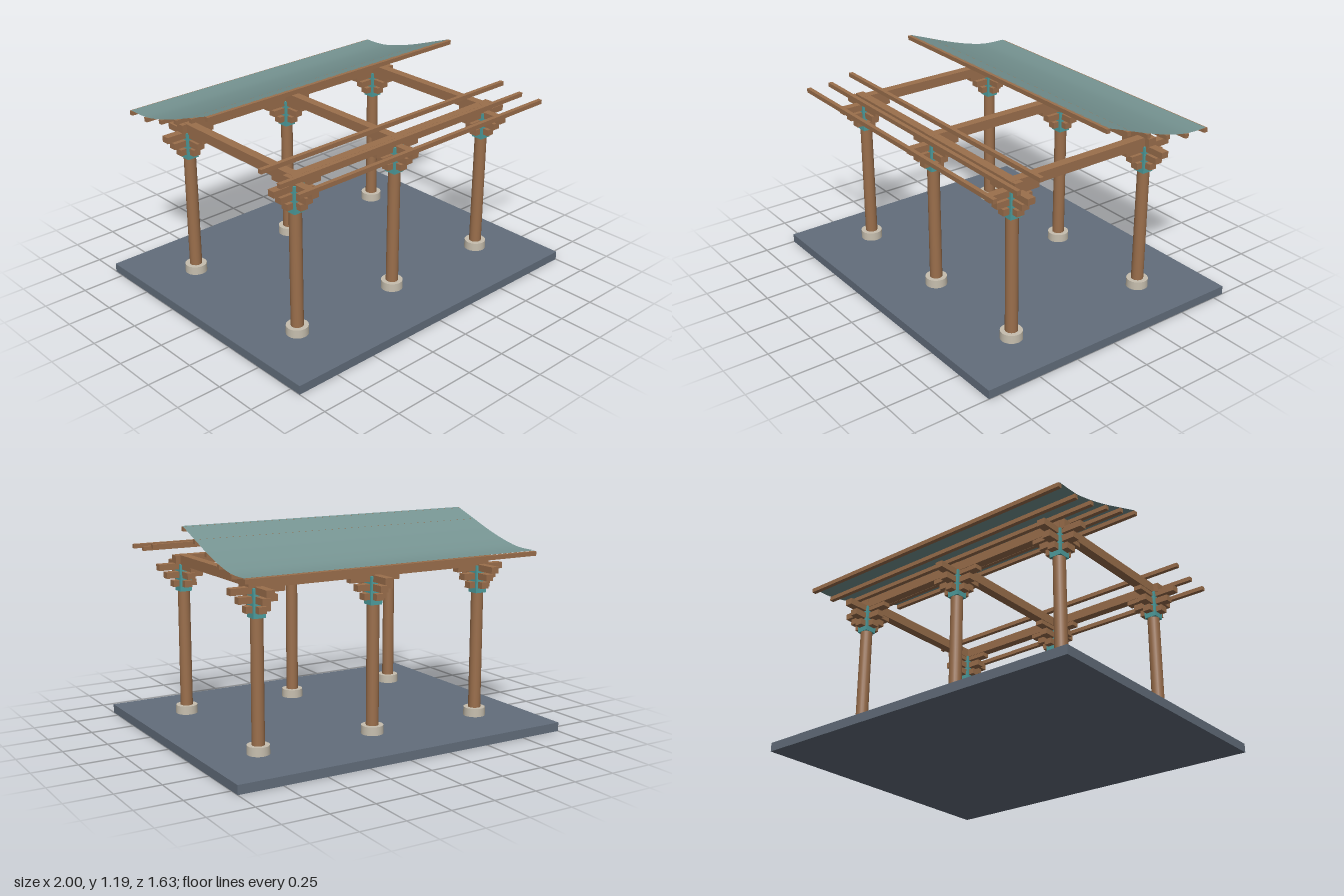
import * as THREE from 'three';

const mat = (name, color, side = THREE.FrontSide) => {
  const m = new THREE.MeshStandardMaterial({ color, side });
  m.name = name;
  return m;
};

export function createModel() {
  const wood = mat('wood', 0x9b6f4c);
  const stone = mat('pale stone', 0xc6beae);
  const slate = mat('slate', 0x626d7b);
  const teal = mat('teal paint', 0x4fa0a0);
  const tile = mat('roof tile', 0x769492, THREE.DoubleSide);
  const model = new THREE.Group();
  model.name = 'pavilion';

  const add = (parent, name, geometry, material, x, y, z) => {
    const mesh = new THREE.Mesh(geometry, material);
    mesh.name = name;
    mesh.position.set(x, y, z);
    parent.add(mesh);
    return mesh;
  };
  const box = (parent, name, w, h, d, material, x, y, z) =>
    add(parent, name, new THREE.BoxGeometry(w, h, d), material, x, y, z);

  box(model, 'platform', 2, 0.05, 1.634, slate, 0, 0.025, 0);

  // Column with stone foot and three widening tiers of crossed bracket arms
  const columnXs = [-0.695, 0, 0.695];
  const columnZ = 0.445;
  const tiers = [[0.07, 0.809], [0.11, 0.858], [0.153, 0.906]];
  for (const x of columnXs) {
    for (const z of [-columnZ, columnZ]) {
      const post = new THREE.Group();
      post.name = 'columnAssembly';
      post.position.set(x, 0, z);
      model.add(post);
      add(post, 'columnFoot', new THREE.CylinderGeometry(0.061, 0.062, 0.048, 20), stone, 0, 0.074, 0);
      add(post, 'column', new THREE.CylinderGeometry(0.034, 0.035, 0.68, 20), wood, 0, 0.43, 0);
      box(post, 'bracketBlock', 0.07, 0.155, 0.07, teal, 0, 0.8405, 0);
      for (const [reach, y] of tiers) {
        box(post, 'bracketArmAcross', reach * 2, 0.035, 0.046, wood, 0, y, 0);
        box(post, 'bracketArmDeep', 0.046, 0.036, reach * 2, wood, 0, y, 0);
      }
    }
    // Cross beam joining the front and back columns
    box(model, 'crossBeam', 0.052, 0.055, 0.944, wood, x, 0.941, 0);
  }

  // Long beams over each row of columns
  for (const z of [-columnZ, columnZ]) {
    box(model, 'longBeam', 1.5, 0.054, 0.05, wood, 0, 0.941, z);
  }

  // Purlins: the back slope is complete, the front slope is unfinished
  const slope = [[0, 1.172], [0.139, 1.122], [0.278, 1.072], [0.417, 1.03], [0.556, 1.001], [0.695, 0.998]];
  slope.forEach(([z, y], i) => {
    box(model, 'purlin', 1.78, 0.024, 0.024, wood, 0, y, -z);
    if (i > 2) box(model, 'purlin', 1.78, 0.024, 0.024, wood, 0, y, z);
  });

  // Thin curved roof sheet swept over the back purlins
  const curve = new THREE.SplineCurve(slope.map(([z, y]) => new THREE.Vector2(-z, y + 0.016)));
  const steps = 15;
  const sheet = new THREE.PlaneGeometry(1.78, 1, 1, steps);
  const pos = sheet.attributes.position;
  for (let i = 0; i < pos.count; i++) {
    // The first row of the plane becomes the eave, the last the ridge
    const p = curve.getPoint(0.5 + pos.getY(i));
    pos.setXYZ(i, pos.getX(i), p.y, p.x);
  }
  sheet.computeVertexNormals();
  add(model, 'roofSheet', sheet, tile, 0, 0, 0);

  return model;
}
